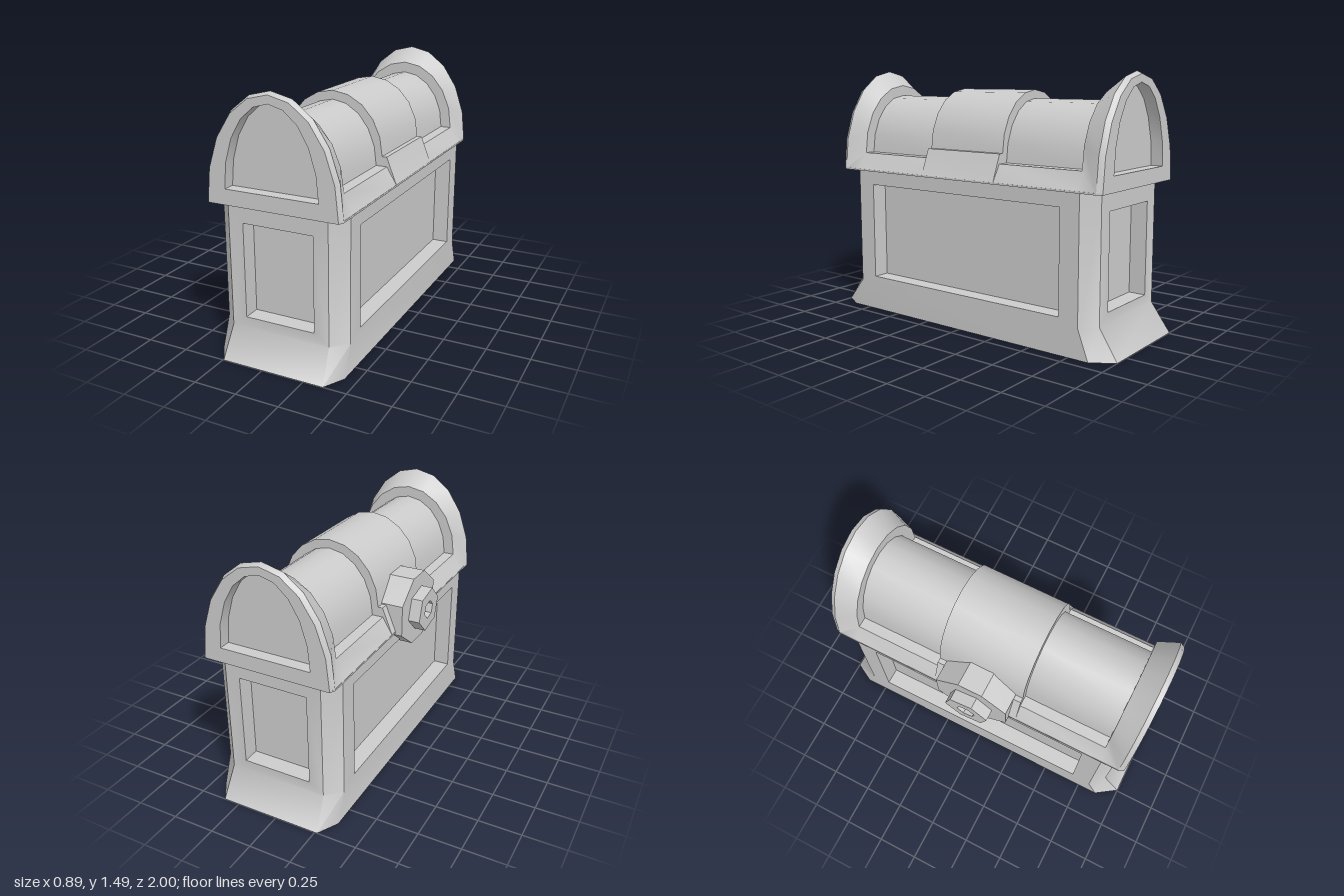
import * as THREE from 'three';
import { mergeGeometries, toCreasedNormals } from 'three/addons/utils/BufferGeometryUtils.js';

const MID = 0.05; // the chest sits slightly to one side because of the clasp
const material = new THREE.MeshStandardMaterial({ color: 0xcccccc, side: THREE.DoubleSide });

// Keep only positions so that all pieces can be merged
function bare(geometry) {
  const g = geometry.index ? geometry.toNonIndexed() : geometry;
  g.deleteAttribute('uv');
  g.deleteAttribute('normal');
  return g;
}

// Surface through rows of [x, y, z] points
function skin(rows) {
  const pos = [];
  for (let i = 0; i < rows.length - 1; i++) {
    for (let j = 0; j < rows[i].length - 1; j++) {
      const a = rows[i][j], b = rows[i][j + 1], c = rows[i + 1][j + 1], d = rows[i + 1][j];
      pos.push(...a, ...b, ...c, ...a, ...c, ...d);
    }
  }
  const g = new THREE.BufferGeometry();
  g.setAttribute('position', new THREE.Float32BufferAttribute(pos, 3));
  return g;
}

const toShape = (pts) => new THREE.Shape(pts.map(([x, y]) => new THREE.Vector2(x, y)));

const rect = (hw, y0, y1) => [[-hw, y0], [hw, y0], [hw, y1], [-hw, y1]];

// Half ellipse from right to left
function arch(hw, y0, y1, n = 10) {
  return Array.from({ length: n + 1 }, (_, i) => {
    const t = (i / n) * Math.PI;
    return [hw * Math.cos(t), y0 + (y1 - y0) * Math.sin(t)];
  });
}

// Flat face with a sunken panel, facing +z
function framed(outline, hole, depth) {
  const face = toShape(outline);
  face.holes.push(toShape(hole));
  const loop = [...hole, hole[0]];
  return [
    bare(new THREE.ShapeGeometry(face)),
    skin([0, -depth].map((z) => loop.map(([x, y]) => [x, y, z]))),
    bare(new THREE.ShapeGeometry(toShape(hole))).translate(0, 0, -depth),
  ];
}

const withOpposite = (parts) => [...parts, ...parts.map((g) => g.clone().rotateY(Math.PI))];

function mesh(name, geometry) {
  const m = new THREE.Mesh(geometry, material);
  m.name = name;
  return m;
}

const finish = (parts) => toCreasedNormals(mergeGeometries(parts), 0.65);

// Open-bottomed box with bevelled corners, flared ends and four sunken panels
function makeBody() {
  const top = 0.88, flare = 0.17;
  const front = framed(rect(0.295, flare, top), rect(0.208, 0.23, 0.77), 0.1);
  front.forEach((g) => g.translate(0, 0, 0.89));
  const sideOutline = [[-0.88, 0], [0.875, 0], [0.81, flare], [0.81, top], [-0.81, top], [-0.81, flare]];
  const side = framed(sideOutline, rect(0.69, 0.21, 0.795), 0.1);
  side.forEach((g) => g.rotateY(Math.PI / 2).translate(0.38, 0, 0));
  const frontFlare = skin([
    [[-0.295, 0, 1], [0.315, 0, 1]],
    [[-0.295, flare, 0.89], [0.295, flare, 0.89]],
  ]);
  const frontCorner = skin([
    [[0.315, 0, 1], [0.38, 0, 0.88]],
    [[0.295, flare, 0.89], [0.38, flare, 0.81]],
    [[0.295, top, 0.89], [0.38, top, 0.81]],
  ]);
  const backCorner = skin([
    [[0.38, 0, -0.875], [0.295, 0, -1]],
    [[0.38, flare, -0.81], [0.295, flare, -0.89]],
    [[0.38, top, -0.81], [0.295, top, -0.89]],
  ]);
  return finish(withOpposite([...front, ...side, frontFlare, frontCorner, backCorner]));
}

// Barrel lid: sections along z, each made of rim, ledge and arch
function makeLid() {
  const base = 0.885;
  const section = (z, hw, y0, y1, ledge, rim = 0.395) => [
    [rim, base, z], [ledge, y0, z],
    ...arch(hw, y0, y1).map(([x, y]) => [x, y, z]),
    [-ledge, y0, z], [-rim, base, z],
  ];
  const half = [
    [0.265, 0.305, 1.04, 1.385, 0.333],
    [0.265, 0.27, 0.985, 1.335, 0.335],
    [0.795, 0.27, 0.985, 1.335, 0.335],
    [0.795, 0.335, 0.985, 1.4, 0.335],
    [0.915, 0.395, base, 1.49, 0.395],
    [0.945, 0.38, base, 1.475, 0.38, 0.38],
  ];
  const back = half.map(([z, ...rest]) => [-z, ...rest]).reverse();
  const shell = skin([...back, ...half].map((s) => section(...s)));
  const end = framed(arch(0.38, base, 1.475), arch(0.272, 0.965, 1.43), 0.07);
  end.forEach((g) => g.translate(0, 0, 0.945));
  return finish([shell, ...withOpposite(end)]);
}

// Thin lip around the bottom of the lid
function makeLip() {
  const outline = toShape([
    [0.38, -0.945], [0.395, -0.915], [0.395, 0.915], [0.38, 0.945],
    [-0.38, 0.945], [-0.395, 0.915], [-0.395, -0.915], [-0.38, -0.945],
  ]);
  outline.holes.push(toShape([
    [0.295, -0.89], [0.38, -0.81], [0.38, 0.81], [0.295, 0.89],
    [-0.295, 0.89], [-0.38, 0.81], [-0.38, -0.81], [-0.295, -0.89],
  ]));
  return new THREE.ExtrudeGeometry(outline, { depth: 0.01, bevelEnabled: false })
    .rotateX(-Math.PI / 2).translate(0, 0.878, 0);
}

// Clasp: faceted plate with a turned hexagonal knob and keyhole
function makeClasp() {
  const clasp = new THREE.Group();
  clasp.name = 'clasp';
  const block = (shape, from, to) =>
    new THREE.ExtrudeGeometry(shape, { depth: to - from, bevelEnabled: false })
      .translate(0, 0, from).rotateY(-Math.PI / 2).translate(0, 0.957, 0);
  const hexagon = (r) => toShape(Array.from({ length: 6 }, (_, i) => {
    const t = 0.23 + (i * Math.PI) / 3;
    return [r * Math.cos(t), 0.91 * r * Math.sin(t)];
  }));
  const plate = toShape([
    [0.22, -0.09], [0.22, 0.09], [0.073, 0.203], [-0.073, 0.203],
    [-0.22, 0.09], [-0.22, -0.09], [-0.073, -0.203], [0.073, -0.203],
  ]);
  const knob = hexagon(0.138);
  knob.holes.push(hexagon(0.058));
  clasp.add(mesh('claspPlate', block(plate, 0.22, 0.383)));
  clasp.add(mesh('claspKnob', block(knob, 0.38, 0.45)));
  return clasp;
}

export function createModel() {
  const model = new THREE.Group();
  model.name = 'chest';
  const parts = [mesh('body', makeBody()), mesh('lid', makeLid()), mesh('lidLip', makeLip())];
  for (const part of parts) {
    part.position.x = MID;
    model.add(part);
  }
  model.add(makeClasp());
  return model;
}
